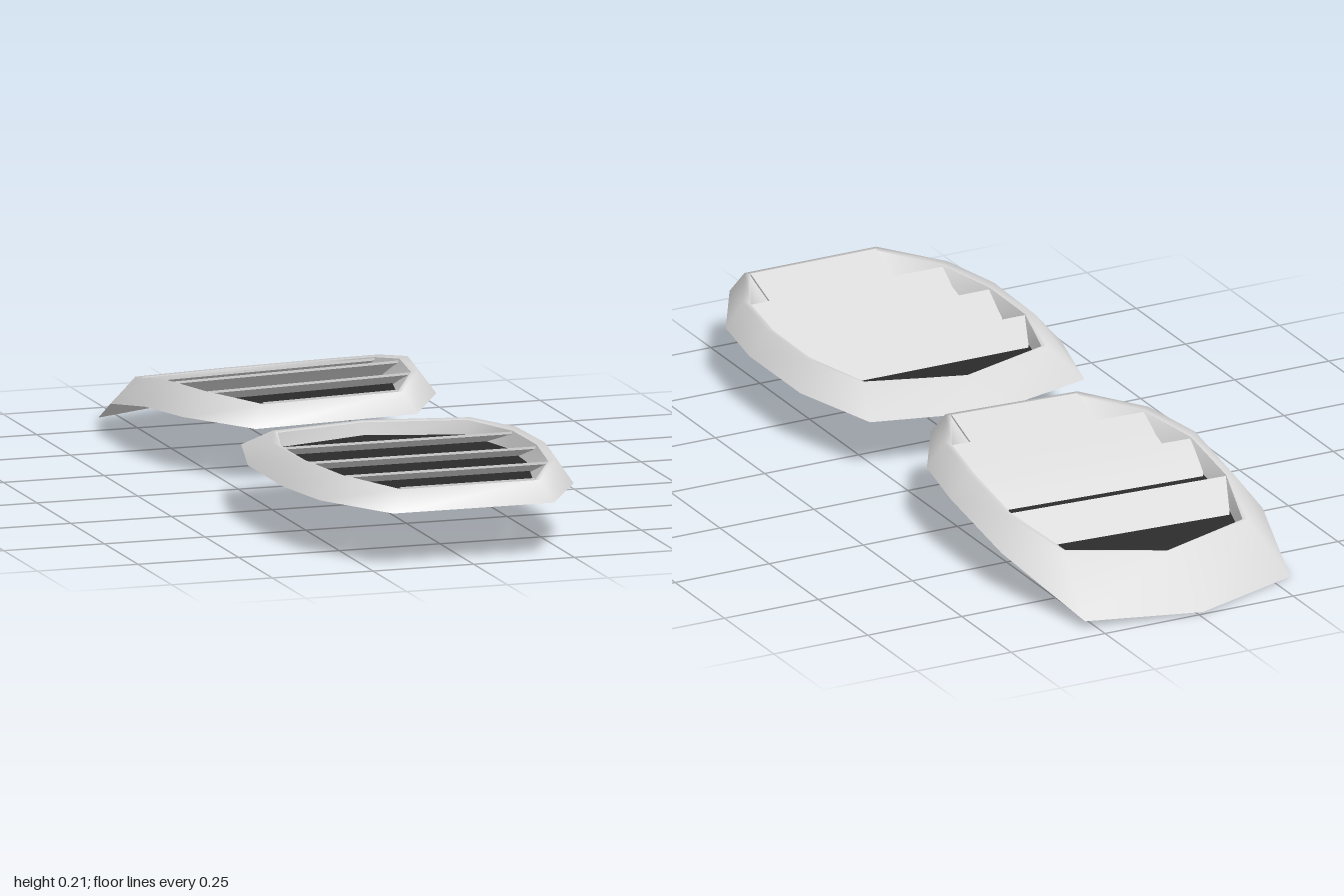
import * as THREE from 'three';

const shell = new THREE.MeshStandardMaterial({ color: 0xdadada, side: THREE.DoubleSide });
shell.name = 'light grey shell';
const mesh = new THREE.MeshStandardMaterial({ color: 0x2b2b2b, side: THREE.DoubleSide });
mesh.name = 'dark backing';

// Half outlines from the rear apex to the front edge: [x, y, z]
const OUTER = [[0, 0.135, 0.05], [0.285, 0.135, 0.125], [0.347, 0.135, 0.36], [0.347, 0.135, 0.62], [0.315, 0.135, 0.8], [0.2, 0.135, 1]];
const CREST = [[0, 0.184, 0.172], [0.245, 0.188, 0.24], [0.302, 0.195, 0.41], [0.304, 0.198, 0.62], [0.272, 0.195, 0.795], [0.175, 0.186, 0.972]];
const LIP = [[0, 0.18, 0.18], [0.236, 0.184, 0.25], [0.287, 0.19, 0.43], [0.287, 0.192, 0.61], [0.255, 0.19, 0.79], [0.165, 0.183, 0.96]];
const FLOOR = [[0, 0.15, 0.185], [0.232, 0.15, 0.255], [0.273, 0.15, 0.44], [0.265, 0.15, 0.6], [0.217, 0.15, 0.79], [0.14, 0.15, 0.89]];
// Louvres: [front z, half width at front, half width at back]
const SLATS = [[0.43, 0.286, 0.245], [0.61, 0.286, 0.27], [0.786, 0.256, 0.256], [0.957, 0.167, 0.165]];

const mirrorRing = half => [...half, ...half.slice(1).reverse().map(([x, y, z]) => [-x, y, z])];

// Drop of the rear vent along its length: [distance behind centre, drop]
const DROP = [[-1, 0], [0.3, 0], [0.45, 0.012], [0.65, 0.05], [0.8, 0.076], [0.9, 0.09]];
function bend([x, y, z]) {
  const d = 1.02 - z;
  const i = Math.max(1, DROP.findIndex(p => p[0] >= d));
  const [a, b] = [DROP[i - 1], DROP[i]];
  const t = Math.min(1, (d - a[0]) / (b[0] - a[0]));
  return [x, y - a[1] - (b[1] - a[1]) * t + 0.025 * (x + 0.3), z - 1.02];
}

function build(points, index) {
  const g = new THREE.BufferGeometry();
  g.setAttribute('position', new THREE.Float32BufferAttribute(points.flat(), 3));
  g.setIndex(index);
  g.computeVertexNormals();
  return g;
}

// Band joining closed rings, ordered from outside to inside
function band(rings) {
  const n = rings[0].length, index = [];
  for (let r = 0; r < rings.length - 1; r++) {
    for (let i = 0; i < n; i++) {
      const j = (i + 1) % n, a = r * n + i, b = r * n + j;
      index.push(a, a + n, b, b, a + n, b + n);
    }
  }
  return build(rings.flat(), index);
}

// Sheet spanning a mirrored half outline row by row
function sheet(half, warp) {
  const points = [], index = [];
  half.forEach(([x, y, z], k) => {
    points.push(warp([-x, y, z]), warp([x, y, z]));
    if (k < half.length - 1) {
      const a = 2 * k;
      if (k > 0) index.push(a, a + 2, a + 1);
      index.push(a + 1, a + 2, a + 3);
    }
  });
  return build(points, index);
}

// Thin sloping louvre, high at the front and passing through the backing
function slat([zf, wf, wb], warp) {
  const g = new THREE.BoxGeometry(2, 1, 1, 4, 1, 4);
  const p = g.attributes.position;
  for (let i = 0; i < p.count; i++) {
    const t = 0.5 - p.getZ(i);
    const w = t < 0.8 ? wf + (wb - wf) * t / 0.8 : wb * (1 - 0.3 * (t - 0.8));
    const y = 0.188 - 0.047 * t + (p.getY(i) - 0.5) * 0.006;
    p.setXYZ(i, ...warp([p.getX(i) * w, y, zf - 0.124 * t]));
  }
  g.computeVertexNormals();
  return g;
}

function makeVent(name, warp, outer) {
  const vent = new THREE.Group();
  vent.name = name;
  const add = (part, geometry, material) => {
    const m = new THREE.Mesh(geometry, material);
    m.name = part;
    vent.add(m);
  };
  const ring = half => mirrorRing(half).map(warp);
  add('rim', band([outer, ring(CREST), ring(LIP)]), shell);
  add('openingWall', band([ring(LIP), ring(FLOOR.map(([x, y, z]) => [x, y - 0.008, z]))]), shell);
  add('backing', sheet(FLOOR, warp), mesh);
  SLATS.forEach(s => add('louvre', slat(s, warp), shell));
  return vent;
}

export function createModel() {
  const model = new THREE.Group();
  model.name = 'louvredVents';
  model.add(makeVent('frontVent', p => p, mirrorRing(OUTER)));

  // Rear vent: bent downwards, with an uneven tail
  const outer = mirrorRing(OUTER).map(bend);
  outer[0] = [-0.01, 0.005, -1];
  outer[1] = [0.277, 0.018, -0.95];
  outer[outer.length - 1] = [-0.3, 0, -0.89];
  model.add(makeVent('rearVent', bend, outer));
  return model;
}
